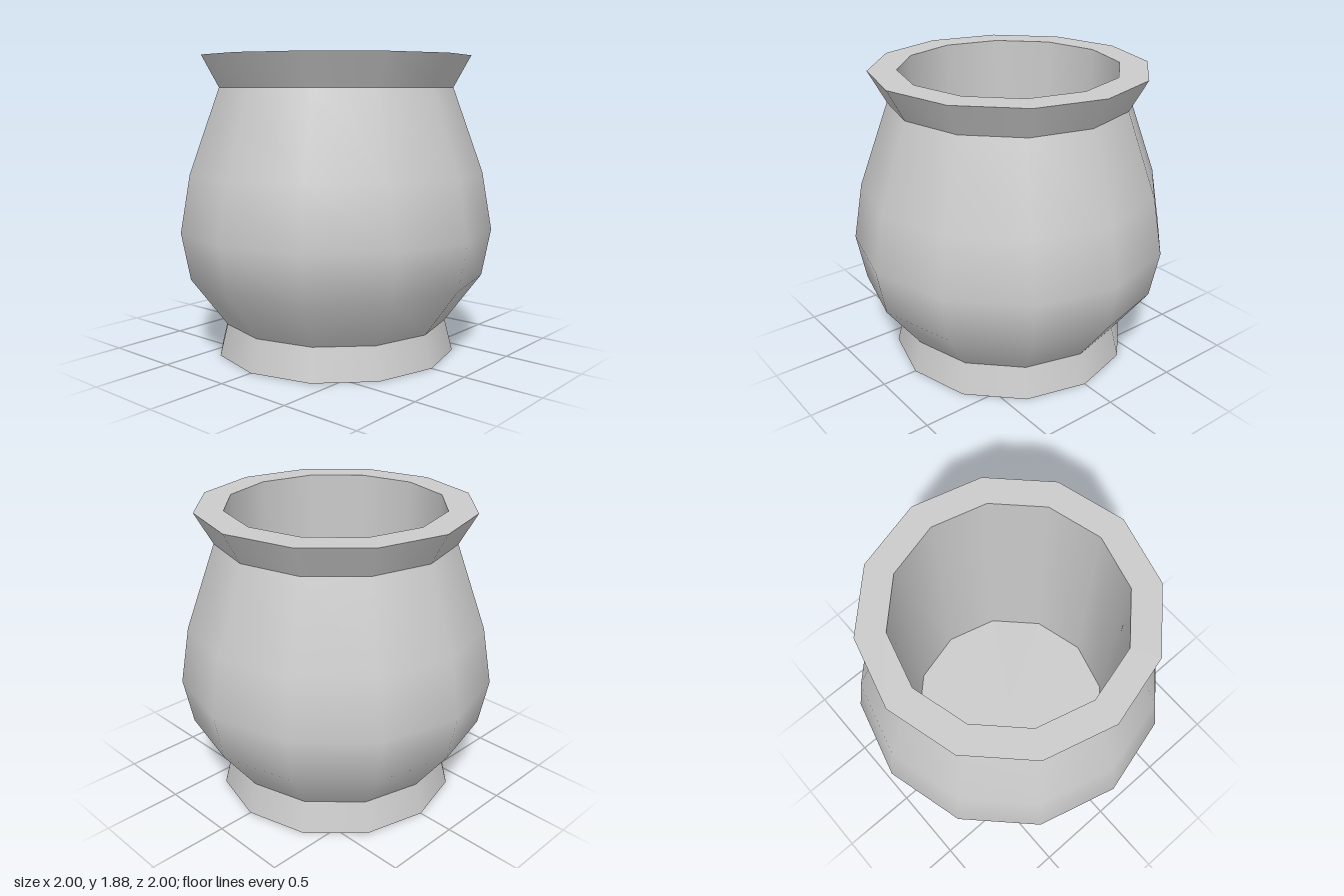
import * as THREE from 'three';

const SIDES = 12;

// One smooth band of the pot; separate bands keep the edges between them sharp.
function band(name, points, material) {
  const profile = points.map(([r, y]) => new THREE.Vector2(r, y));
  const mesh = new THREE.Mesh(new THREE.LatheGeometry(profile, SIDES), material);
  mesh.name = name;
  return mesh;
}

export function createModel() {
  const group = new THREE.Group();
  group.name = 'pot';
  const clay = new THREE.MeshStandardMaterial({ color: 0xcccccc });

  // The profile runs from the underside, up the outside, over the rim and down the inside.
  const bands = {
    base: [[0, 0], [0.77, 0]],
    foot: [[0.77, 0], [0.72, 0.2]],
    belly: [[0.72, 0.2], [0.945, 0.505], [1, 0.8], [0.937, 1.16], [0.747, 1.685]],
    collar: [[0.747, 1.685], [0.853, 1.88]],
    rim: [[0.853, 1.88], [0.677, 1.88]],
    innerWall: [[0.677, 1.88], [0.677, 0.2]],
    innerFloor: [[0.677, 0.2], [0, 0.2]],
  };
  for (const [name, points] of Object.entries(bands)) group.add(band(name, points, clay));

  return group;
}
